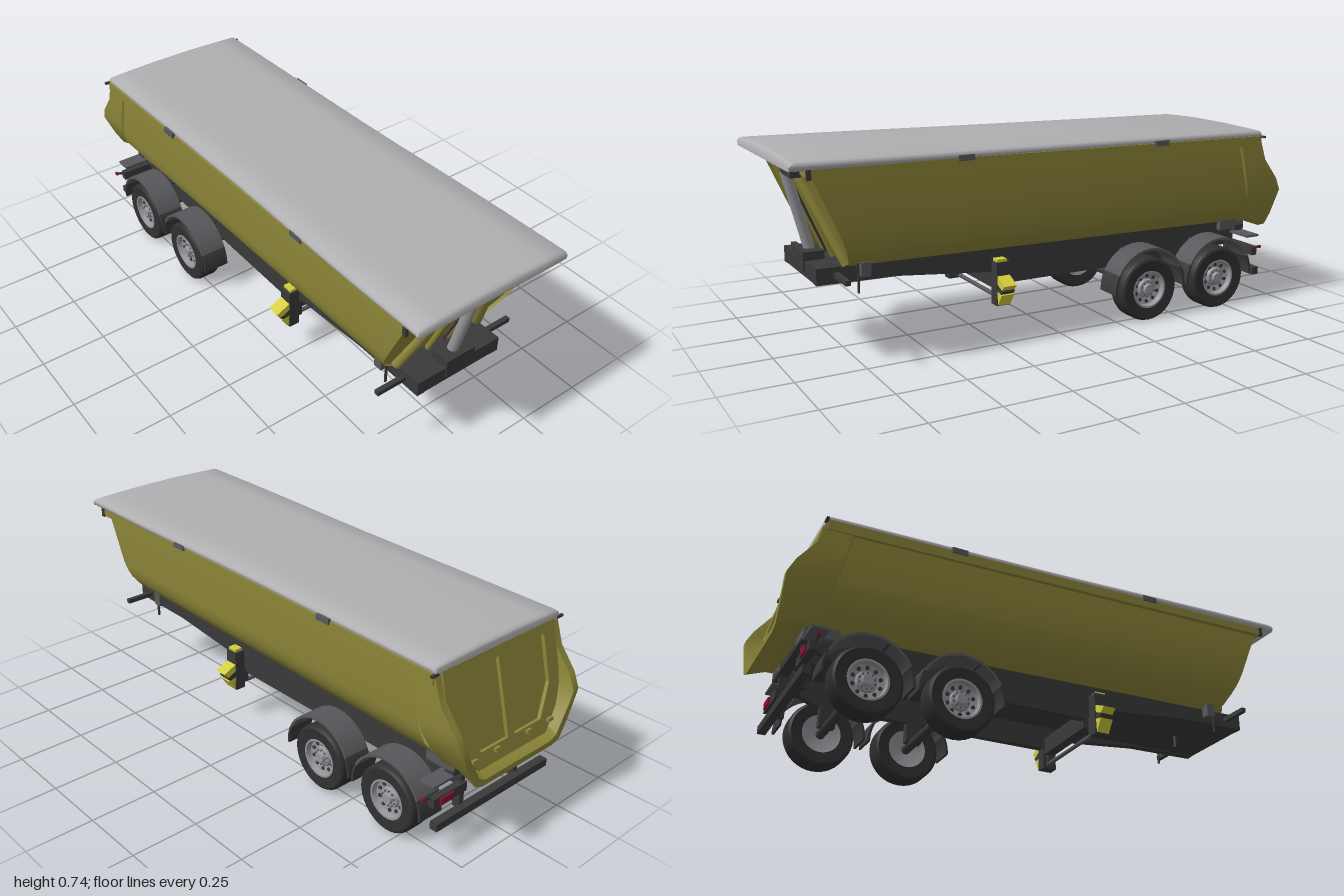
import * as THREE from 'three';
import { toCreasedNormals } from 'three/addons/utils/BufferGeometryUtils.js';

export function createModel() {
  const root = new THREE.Group();
  root.name = 'tipperTrailer';
  const mat = (name, color) => {
    const m = new THREE.MeshStandardMaterial({ color, side: THREE.DoubleSide });
    m.name = name;
    return m;
  };
  const olive = mat('olivePaint', 0x8d8639), cover = mat('coverGrey', 0xb0b0b2);
  const dark = mat('chassisDark', 0x3a3a3b), rubber = mat('tyreRubber', 0x303030);
  const steel = mat('rimSteel', 0x96969c), mid = mat('fenderGrey', 0x58585c);
  const bright = mat('chockYellow', 0xd2cc3c), red = mat('lampRed', 0x8a1230);

  const add = (name, geo, m, parent = root) => {
    const mesh = new THREE.Mesh(geo, m);
    mesh.name = name;
    parent.add(mesh);
    return mesh;
  };
  // box given by its limits
  const box = (name, x0, x1, y0, y1, z0, z1, m, parent) => add(name,
    new THREE.BoxGeometry(x1 - x0, y1 - y0, z1 - z0).translate((x0 + x1) / 2, (y0 + y1) / 2, (z0 + z1) / 2), m, parent);
  const toShape = pts => new THREE.Shape(pts.map(p => new THREE.Vector2(p[0], p[1])));
  const extrude = (shape, depth) =>
    new THREE.ExtrudeGeometry(shape, { depth, bevelEnabled: false, curveSegments: 20 });
  // side outline in (z, y), extruded from x0 to x1
  const side = (name, shape, x0, x1, m) =>
    add(name, extrude(shape, x1 - x0).rotateY(-Math.PI / 2).translate(x1, 0, 0), m);
  const rod = (name, a, b, r, m, seg = 16) => {
    const A = new THREE.Vector3(...a), B = new THREE.Vector3(...b), d = B.clone().sub(A);
    const mesh = add(name, new THREE.CylinderGeometry(r, r, d.length(), seg), m);
    mesh.position.copy(A).add(B).multiplyScalar(0.5);
    mesh.quaternion.setFromUnitVectors(new THREE.Vector3(0, 1, 0), d.normalize());
  };
  // skin over equal-length cross-sections
  const loft = (sections, closed = false, crease = 0.6) => {
    const n = sections[0].length, idx = [];
    for (let i = 0; i < sections.length - 1; i++)
      for (let j = 0; j < (closed ? n : n - 1); j++) {
        const a = i * n + j, b = i * n + (j + 1) % n;
        idx.push(a, b, a + n, b, b + n, a + n);
      }
    const g = new THREE.BufferGeometry();
    g.setAttribute('position', new THREE.Float32BufferAttribute(sections.flat(2), 3));
    g.setIndex(idx);
    g.computeVertexNormals();
    return toCreasedNormals(g, crease);
  };
  const mirrorHalf = half => [...half, ...half.slice().reverse().map(([x, y]) => [-x, y])];
  const lerp = THREE.MathUtils.lerp;

  // tub shell: U section, sloped front edge
  const tub = mirrorHalf([[0.285, 0.69], [0.285, 0.49], [0.28, 0.46], [0.27, 0.43], [0.25, 0.4],
    [0.22, 0.37], [0.185, 0.345]]);
  const frontZ = y => 0.78 + (y - 0.345) * 0.435;
  const collarZ = y => -0.865 + (y - 0.32) * 0.235;
  add('tubShell', loft([
    tub.map(([x, y]) => [x, y, frontZ(y)]),
    tub.map(([x, y]) => [x * 1.03, y - 0.027, collarZ(y)])]), olive);
  const wall = new THREE.ShapeGeometry(toShape(tub));
  const wp = wall.attributes.position;
  for (let i = 0; i < wp.count; i++) wp.setZ(i, frontZ(wp.getY(i)) - 0.012);
  wall.computeVertexNormals();
  add('frontWall', wall, olive);

  // rear collar flaring into the tailgate hood, then rim and inner return
  const hood = mirrorHalf([[0.3, 0.67], [0.3, 0.58], [0.3, 0.5], [0.293, 0.45], [0.273, 0.405],
    [0.247, 0.36], [0.215, 0.32], [0.18, 0.31]]);
  const rearCurve = [[0.67, -0.88], [0.58, -0.91], [0.5, -0.972], [0.45, -0.998], [0, -1]];
  const rearZ = y => {
    const i = rearCurve.findIndex(p => p[0] < y), [a, za] = rearCurve[i - 1] ?? rearCurve[0], [b, zb] = rearCurve[i];
    return a === b ? za : lerp(za, zb, (a - y) / (a - b));
  };
  const gateZ = y => -0.872 - (0.67 - y) * 0.25;
  const drop = y => (y < 0.4 ? (0.4 - y) * 0.35 : 0);
  add('tailHood', loft([
    hood.map(([x, y]) => [x * 0.96, y, collarZ(y) + 0.012]),
    hood.map(([x, y]) => [x, y, collarZ(y)]),
    hood.map(([x, y]) => [x, y, collarZ(y) - 0.06]),
    hood.map(([x, y]) => [x, y - drop(y), rearZ(y)]),
    hood.map(([x, y]) => [x * 0.91, y - drop(y) + (y < 0.4 ? 0.02 : 0), rearZ(y)]),
    hood.map(([x, y]) => [x * 0.9, y + 0.01, gateZ(y)])]), olive);

  // tailgate: tilted plate with a raised two-window frame
  const gate = new THREE.Group();
  gate.name = 'tailgate';
  gate.position.set(0, 0.67, -0.872);
  gate.rotation.x = 0.245;
  root.add(gate);
  const gateOutline = mirrorHalf([[0.272, 0], [0.272, -0.2], [0.245, -0.28], [0.17, -0.365]]);
  add('tailgatePanel', extrude(toShape(gateOutline), 0.006), olive, gate);
  const frame = toShape(gateOutline);
  for (const s of [1, -1])
    frame.holes.push(new THREE.Path([[0.016, -0.035], [0.215, -0.035], [0.215, -0.2], [0.15, -0.31],
      [0.016, -0.31]].map(([x, y]) => new THREE.Vector2(s * x, y))));
  add('tailgateFrame', extrude(frame, 0.014), olive, gate).position.z = -0.014;
  for (const x of [-0.19, -0.08, 0.08, 0.19])
    box('gateLug', x - 0.012, x + 0.012, -0.33, -0.318, -0.026, 0, olive, gate);

  // top rails, front beam and front wall struts
  const rail = toShape([[0.94, 0.705], [-0.88, 0.675], [-0.88, 0.638], [0.93, 0.672]]);
  for (const s of [1, -1]) {
    side('topRail', rail, s > 0 ? 0.283 : -0.306, s > 0 ? 0.306 : -0.283, olive);
    rod('diagonalStrut', [s * 0.08, 0.68, 0.918], [s * 0.18, 0.35, 0.782], 0.019, olive);
    rod('uprightStrut', [s * 0.046, 0.68, 0.925], [s * 0.046, 0.35, 0.785], 0.01, olive);
    rod('ramGuide', [s * 0.028, 0.68, 0.925], [s * 0.028, 0.35, 0.785], 0.005, dark, 8);
    for (const z of [0.4, -0.4])
      box('coverClip', s * 0.306 - 0.007, s * 0.306 + 0.007, 0.68 + z * 0.017, 0.7 + z * 0.017, z - 0.03, z + 0.03, mid);
    box('rearCoverPin', s * 0.305 - 0.015, s * 0.305 + 0.015, 0.668, 0.676, -0.89, -0.88, dark);
    box('frontRailCap', s * 0.304 - 0.006, s * 0.304 + 0.006, 0.668, 0.702, 0.93, 0.945, dark);
  }
  box('frontBeam', -0.298, 0.298, 0.675, 0.705, 0.9, 0.94, olive);
  box('controlBox', 0.118, 0.22, 0.664, 0.69, 0.935, 0.97, dark);

  // roll cover with upright edges and a slight crown
  const coverRing = ([z, rise]) => {
    const hw = lerp(0.302, 0.314, THREE.MathUtils.smoothstep(z, 0, 0.7)) - (1 - rise) * 0.006;
    const base = lerp(0.666, 0.7, (z + 0.885) / 1.885);
    const half = [[hw - 0.01, 0], [hw, 0.012], [hw, 0.022], [hw - 0.008, 0.029], [hw * 0.7, 0.033], [hw * 0.3, 0.037]];
    return mirrorHalf(half).map(([x, y]) => [x, base + y * rise, z]);
  };
  add('rollCover', loft([[1, 0], [1, 0.7], [0.993, 0.92], [0.98, 1], [0.7, 1], [0.45, 1], [0.2, 1], [0, 1],
    [-0.868, 1], [-0.881, 0.92], [-0.885, 0.7], [-0.885, 0]].map(coverRing), true, 0.9), cover);

  // lifting ram and its base
  rod('ramBarrel', [0, 0.645, 0.922], [0, 0.36, 0.85], 0.019, steel, 24);
  rod('ramTop', [0, 0.69, 0.933], [0, 0.64, 0.92], 0.012, dark);
  box('ramHead', -0.022, 0.022, 0.67, 0.697, 0.915, 0.945, dark);
  box('ramBase', -0.062, 0.062, 0.31, 0.377, 0.82, 0.895, dark);

  // chassis
  const beam = toShape([[0.89, 0.348], [-0.86, 0.315], [-0.86, 0.25], [-0.75, 0.2], [0.17, 0.2],
    [0.25, 0.25], [0.6, 0.285], [0.89, 0.29]]);
  side('chassisRailLeft', beam, 0.15, 0.18, dark);
  side('chassisRailRight', beam, -0.18, -0.15, dark);
  box('frontPlate', -0.178, 0.178, 0.292, 0.347, 0.5, 0.89, dark);
  box('deckPlate', -0.15, 0.15, 0.29, 0.312, -0.86, 0.5, dark);
  for (const [z, y] of [[0.2, 0.176], [-0.2, 0.21], [-0.53, 0.21], [-0.84, 0.21]])
    box('crossMember', -0.152, 0.152, y, 0.243, z - 0.02, z + 0.02, dark);
  rod('kingPin', [0, 0.3, 0.7], [0, 0.245, 0.7], 0.007, dark);
  box('frontSideArm', -0.296, 0.296, 0.311, 0.328, 0.812, 0.83, dark);
  box('hingeBeam', -0.2, 0.2, 0.275, 0.298, -0.9, -0.86, dark);

  for (const s of [1, -1]) {
    const X = (name, a, b, y0, y1, z0, z1, m) =>
      box(name, Math.min(s * a, s * b), Math.max(s * a, s * b), y0, y1, z0, z1, m);
    X('frontPost', 0.19, 0.198, 0.25, 0.355, 0.747, 0.753, dark);
    X('tubGuide', 0.18, 0.213, 0.308, 0.358, 0.71, 0.745, mid);
    // landing leg with wheel chocks
    X('landingLeg', 0.18, 0.222, 0.132, 0.292, 0.19, 0.245, dark);
    X('legCap', 0.183, 0.215, 0.29, 0.302, 0.2, 0.24, bright);
    for (const [name, m, pts] of [
      ['wheelChock', bright, [[0.222, 0.243], [0.277, 0.218], [0.256, 0.198], [0.222, 0.214]]],
      ['chockHolder', dark, [[0.222, 0.214], [0.262, 0.196], [0.25, 0.182], [0.222, 0.188]]],
      ['wheelChock', bright, [[0.222, 0.188], [0.256, 0.18], [0.226, 0.135]]]])
      add(name, extrude(toShape(pts.map(([x, y]) => [s * x, y])), 0.05), m).position.z = 0.193;
    X('braceLeg', 0.155, 0.175, 0.15, 0.22, 0.2, 0.23, dark);
    // rear hinge, lamps, marker stalks and bumper hangers
    X('tubHinge', 0.1, 0.2, 0.285, 0.325, -0.9, -0.78, mid);
    X('lampCarrier', 0.13, 0.288, 0.19, 0.225, -0.9, -0.875, dark);
    X('rearLamp', 0.2, 0.262, 0.195, 0.22, -0.907, -0.9, red);
    X('bumperHanger', 0.13, 0.15, 0.12, 0.28, -0.89, -0.86, dark);
    rod('markerStalk', [s * 0.27, 0.215, -0.88], [s * 0.32, 0.234, -0.88], 0.005, dark, 8);
    X('markerLamp', 0.317, 0.327, 0.229, 0.238, -0.887, -0.873, red);
    X('rearStep', 0.19, 0.295, 0.268, 0.276, -0.9, -0.84, mid);
  }
  rod('landingCrossTube', [-0.2, 0.148, 0.21], [0.2, 0.148, 0.21], 0.008, mid);
  box('rearBumper', -0.285, 0.285, 0.107, 0.136, -0.915, -0.885, dark);

  // axles, wheels and mudguards
  const lathe = pts => toCreasedNormals(new THREE.LatheGeometry(
    pts.map(p => new THREE.Vector2(p[0], p[1])), 36).rotateZ(-Math.PI / 2), 0.5);
  const tyreGeo = lathe([[0.072, -0.04], [0.112, -0.043], [0.12, -0.038], [0.123, -0.03], [0.123, 0.03],
    [0.12, 0.038], [0.112, 0.043], [0.072, 0.04]]);
  const rimGeo = lathe([[0.001, -0.02], [0.072, -0.04], [0.073, 0.041], [0.066, 0.041], [0.062, 0.022],
    [0.038, 0.016], [0.034, 0.026], [0.02, 0.028], [0.018, 0.04], [0.001, 0.04]]);
  for (const z of [-0.37, -0.7]) {
    rod('axle', [-0.24, 0.123, z], [0.24, 0.123, z], 0.017, dark);
    for (const s of [1, -1]) {
      const wheel = new THREE.Group();
      wheel.name = 'wheel';
      wheel.position.set(s * 0.255, 0.123, z);
      wheel.rotation.y = s > 0 ? 0 : Math.PI;
      root.add(wheel);
      add('tyre', tyreGeo, rubber, wheel);
      add('rim', rimGeo, steel, wheel);
      for (let i = 0; i < 10; i++)
        for (const [name, r, rad, x, m] of [['rimHole', 0.05, 0.007, 0.02, dark], ['wheelNut', 0.028, 0.003, 0.029, mid]])
          add(name, new THREE.CylinderGeometry(rad, rad, 0.006, 10).rotateZ(-Math.PI / 2), m, wheel)
            .position.set(x, r * Math.cos(i * Math.PI / 5), r * Math.sin(i * Math.PI / 5));
      // guard arch with a dark flap at each end
      for (const [name, a, b, m] of [['mudguard', 0.45, 2.69, mid], ['mudflap', -0.04, 0.45, dark], ['mudflap', 2.69, 3.18, dark]]) {
        const arc = new THREE.Shape();
        arc.absarc(z, 0.128, 0.159, a, b, false);
        arc.absarc(z, 0.128, 0.15, b, a, true);
        side(name, arc, s > 0 ? 0.2 : -0.303, s > 0 ? 0.303 : -0.2, m);
      }
      rod('mudguardBracket', [s * 0.16, 0.265, z + 0.06], [s * 0.3, 0.265, z + 0.06], 0.006, dark, 8);
      box('springHanger', s * 0.165 - 0.015, s * 0.165 + 0.015, 0.125, 0.22, z - 0.03, z + 0.03, dark);
    }
  }
  return root;
}
